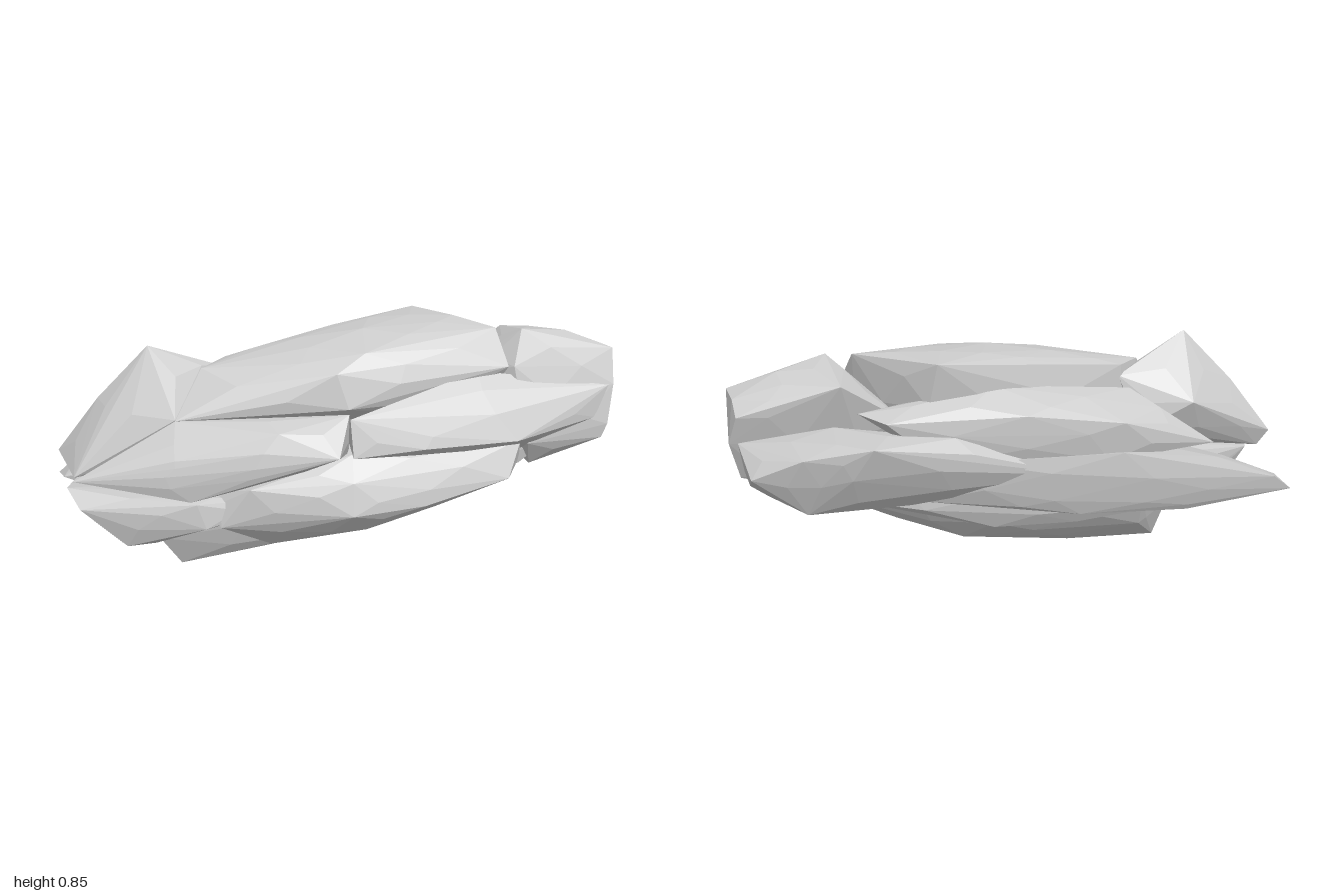
import * as THREE from 'three';
import { ConvexGeometry } from 'three/addons/geometries/ConvexGeometry.js';

const material = new THREE.MeshStandardMaterial({ color: 0xcccccc, flatShading: true });

// Faceted shard: hull of its corners, with each large face slightly bulged inside the shard's bounds
function shard(name, corners, bulge = 0.05) {
  const points = corners.map((c) => new THREE.Vector3(...c));
  const box = new THREE.Box3().setFromPoints(points);
  const p = new ConvexGeometry(points).attributes.position;
  const tri = new THREE.Triangle();
  const extra = [];
  for (let i = 0; i < p.count; i += 3) {
    tri.setFromAttributeAndIndices(p, i, i + 1, i + 2);
    const area = tri.getArea();
    if (area < 0.012) continue;
    const mid = tri.getMidpoint(new THREE.Vector3());
    const normal = tri.getNormal(new THREE.Vector3());
    extra.push(mid.addScaledVector(normal, bulge * Math.sqrt(area)).clamp(box.min, box.max));
  }
  const mesh = new THREE.Mesh(new ConvexGeometry([...points, ...extra]), material);
  mesh.name = name;
  return mesh;
}

export function createModel() {
  const rock = new THREE.Group();
  rock.name = 'rockCluster';

  // Inner mass that closes the gaps between shards
  rock.add(shard('core', [
    [-0.66, 0.26, 0.14], [-0.6, 0.24, -0.13], [-0.5, 0.42, 0.1], [-0.5, 0.45, -0.1],
    [-0.2, 0.19, -0.13], [0.1, 0.2, -0.15], [0.35, 0.3, -0.19], [0.6, 0.35, -0.18],
    [0.1, 0.2, 0.2], [0.3, 0.5, 0.15], [0.3, 0.5, -0.18],
    [0.66, 0.34, 0.08], [0.8, 0.45, 0.06], [0.85, 0.5, -0.14],
  ]));

  // Upper slab along the crest
  rock.add(shard('crestSlab', [
    [-0.55, 0.57, 0.22], [-0.46, 0.72, 0.1], [-0.38, 0.73, 0], [0, 0.81, -0.1],
    [0.1, 0.83, 0.02], [0.3, 0.84, -0.23], [0.43, 0.845, -0.08], [0.57, 0.82, 0],
    [0.61, 0.7, 0.08], [0.04, 0.61, 0.25], [0, 0.73, 0.23], [0.1, 0.785, 0.17],
    [-0.4, 0.4, 0], [0.5, 0.5, 0], [0.33, 0.68, -0.21],
  ]));

  // Pointed shard on the -x end
  rock.add(shard('peak', [
    [-0.64, 0.81, 0.12], [-0.46, 0.72, 0.07], [-0.37, 0.69, 0], [-0.97, 0.42, 0.07],
    [-0.82, 0.62, 0.1], [-0.63, 0.6, -0.08], [-0.9, 0.38, 0.24], [-0.55, 0.57, 0.21],
    [-0.93, 0.36, 0.08], [-0.5, 0.4, 0.1], [-0.45, 0.5, -0.06],
  ], 0.03));

  // Blunt block on the +x end
  rock.add(shard('endBlock', [
    [0.66, 0.82, 0.02], [0.6, 0.78, -0.04], [0.63, 0.7, 0.08], [0.62, 0.77, -0.2],
    [0.83, 0.79, -0.06], [1, 0.73, -0.03], [0.98, 0.72, -0.12], [0.97, 0.67, -0.17],
    [1, 0.61, 0.02], [1, 0.57, -0.14], [0.98, 0.47, 0.05], [0.96, 0.42, 0.05],
    [0.97, 0.42, -0.08], [0.7, 0.33, 0.06], [0.7, 0.34, -0.06], [0.68, 0.43, 0.13],
    [0.4, 0.6, -0.1],
  ]));

  // Wedge behind the end block
  rock.add(shard('backWedge', [
    [0.53, 0.615, -0.4], [0.76, 0.58, -0.37], [0.6, 0.5, -0.37], [0.93, 0.5, -0.31],
    [0.97, 0.57, -0.14], [0.75, 0.36, -0.3], [0.94, 0.4, -0.11], [0.25, 0.6, -0.29],
    [0.65, 0.63, -0.2], [0.4, 0.35, -0.25], [-0.2, 0.4, -0.2], [0.6, 0.35, -0.1],
  ]));

  // Long ledge under the crest
  rock.add(shard('frontLedge', [
    [0.04, 0.6, 0.32], [0.05, 0.47, 0.35], [0.3, 0.48, 0.3], [0.63, 0.47, 0.21],
    [0.98, 0.61, 0.03], [0.93, 0.5, 0.06], [0.5, 0.69, 0.09], [0.04, 0.48, 0.18],
    [0.65, 0.4, 0.1],
  ], 0.03));
  rock.add(shard('leftLedge', [
    [-0.9, 0.38, 0.28], [-0.55, 0.57, 0.22], [0.04, 0.6, 0.27], [0, 0.49, 0.4],
    [-0.3, 0.41, 0.37], [-0.5, 0.32, 0.34], [-0.55, 0.44, 0.33], [-0.2, 0.56, 0.34],
    [-0.8, 0.35, 0.2], [0.05, 0.4, 0.1],
  ]));

  // Lower shards along the front
  rock.add(shard('lowerLeftShard', [
    [-0.92, 0.36, 0.28], [-0.87, 0.31, 0.36], [-0.72, 0.16, 0.33], [-0.45, 0.22, 0.34],
    [-0.48, 0.31, 0.34], [-0.7, 0.34, 0.34], [-0.71, 0.09, 0.17], [-0.6, 0.12, 0.14],
    [-0.9, 0.34, 0.12], [-0.86, 0.26, 0.14], [-0.1, 0.28, 0.2],
  ]));
  rock.add(shard('lowerFrontShard', [
    [-0.5, 0.3, 0.2], [-0.4, 0.22, 0.33], [-0.23, 0.13, 0.27], [0.05, 0.27, 0.38],
    [0.3, 0.28, 0.32], [0.1, 0.19, 0.3], [0.6, 0.34, 0.23], [0.65, 0.46, 0.16],
    [0.05, 0.46, 0.28], [0.05, 0.38, 0.35], [-0.3, 0.36, 0.34], [-0.2, 0.13, 0.18],
    [0.5, 0.29, 0.1], [0.66, 0.35, 0.07],
  ]));

  // Underside
  rock.add(shard('keel', [
    [-0.55, 0, 0.13], [-0.62, 0.12, 0.18], [-0.2, 0.05, 0.03], [0.2, 0.13, -0.06],
    [0.05, 0.13, 0.14], [0.45, 0.22, -0.03], [0.64, 0.33, 0.08], [0.66, 0.34, -0.1],
    [-0.4, 0.25, 0.2], [-0.45, 0.13, -0.05], [0.1, 0.21, -0.14], [0.3, 0.32, -0.17],
    [-0.45, 0.28, -0.12],
  ]));

  // Long tapering slabs along the back
  rock.add(shard('tailSlab', [
    [-1, 0.26, -0.12], [-0.97, 0.28, -0.02], [-0.93, 0.32, -0.14], [-0.7, 0.42, -0.16],
    [-0.35, 0.48, -0.22], [0.2, 0.5, -0.27], [0.35, 0.35, -0.23], [-0.2, 0.25, -0.2],
    [-0.1, 0.32, -0.23], [-0.6, 0.22, -0.15], [-0.85, 0.24, 0], [0.3, 0.4, 0],
    [-0.6, 0.4, 0.05],
  ]));
  rock.add(shard('upperBackSlab', [
    [-0.7, 0.46, -0.12], [-0.5, 0.6, -0.11], [-0.35, 0.59, -0.22], [0, 0.65, -0.26],
    [0.48, 0.665, -0.3], [0.57, 0.68, -0.22], [0.3, 0.5, -0.27], [-0.3, 0.45, -0.21],
    [-0.4, 0.66, -0.05], [0.1, 0.73, -0.15], [0.4, 0.6, 0],
  ]));

  return rock;
}
